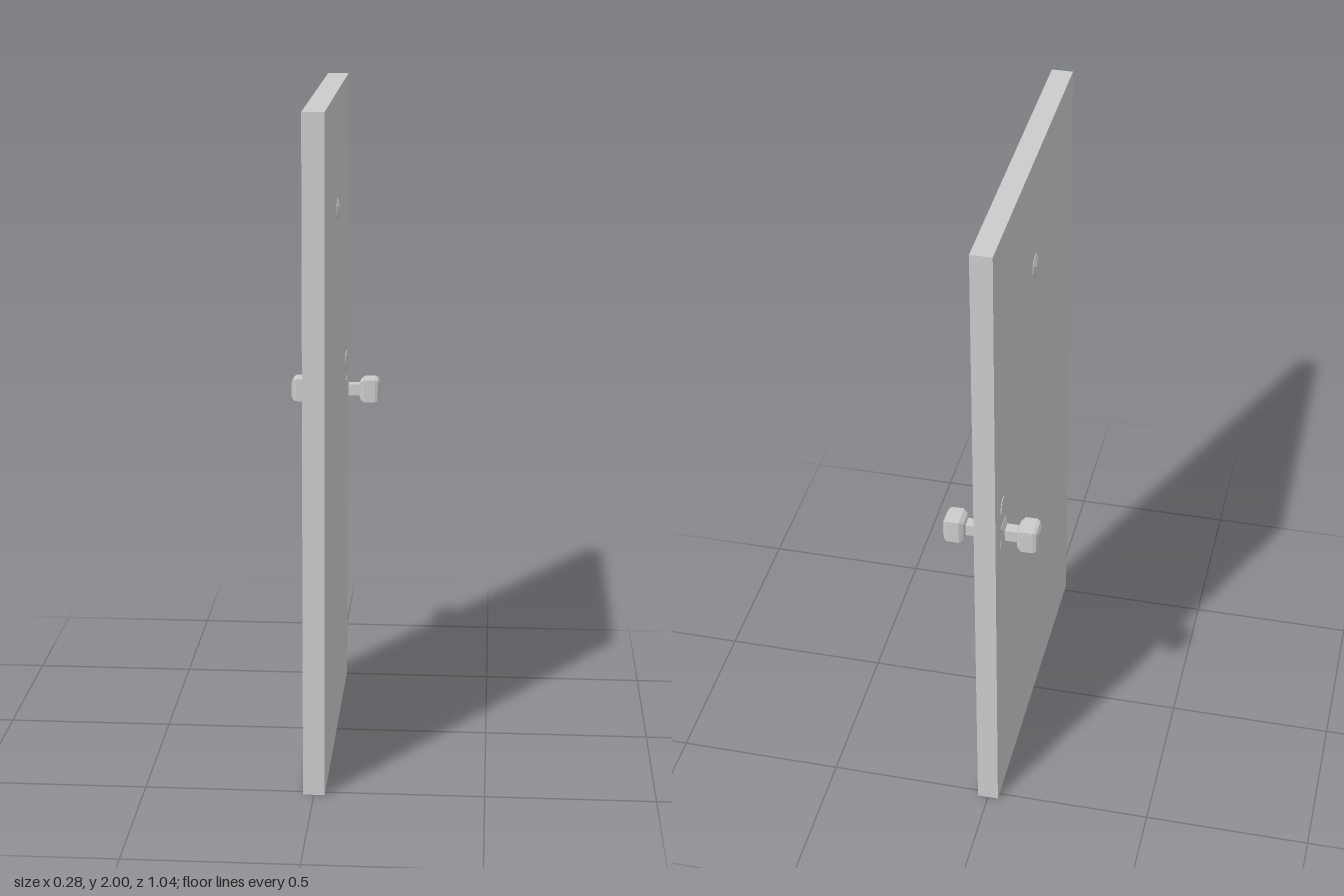
import * as THREE from 'three';

const material = new THREE.MeshStandardMaterial({ color: 0xcccccc, flatShading: true });

// Turned fitting: profile of [distance from door centre, half width], pointing along +x or -x
function fitting(name, profile, sides, side, y, z) {
  const scale = 1 / Math.cos(Math.PI / sides); // half width is measured to the flats
  const points = profile.map(([d, r]) => new THREE.Vector2(r * scale, d));
  const mesh = new THREE.Mesh(new THREE.LatheGeometry(points, sides, Math.PI / sides), material);
  mesh.name = name;
  mesh.rotation.z = -side * Math.PI / 2;
  mesh.position.set(0, y, z);
  return mesh;
}

export function createModel() {
  const group = new THREE.Group();
  group.name = 'door';

  // Door slab
  const panel = new THREE.Mesh(new THREE.BoxGeometry(0.064, 2, 1.044), material);
  panel.name = 'doorPanel';
  panel.position.y = 1;
  group.add(panel);

  const knobZ = -0.425;
  // Square knob with its flared base and neck
  const knob = [
    [0.03, 0.035], [0.033, 0.035], [0.041, 0.018], [0.076, 0.018],
    [0.08, 0.027], [0.092, 0.036], [0.127, 0.036], [0.136, 0.032], [0.142, 0.022], [0.142, 0],
  ];
  const lock = [[0.03, 0.03], [0.034, 0.03], [0.034, 0]];
  const peephole = [[0.03, 0.035], [0.034, 0.032], [0.041, 0.018], [0.041, 0]];

  // Same fittings on both faces
  for (const side of [1, -1]) {
    const label = side > 0 ? 'left' : 'right';
    group.add(
      fitting(label + 'Knob', knob, 4, side, 1, knobZ),
      fitting(label + 'LockDisc', lock, 16, side, 1.095, knobZ),
      fitting(label + 'Peephole', peephole, 8, side, 1.65, 0),
    );
  }
  return group;
}
